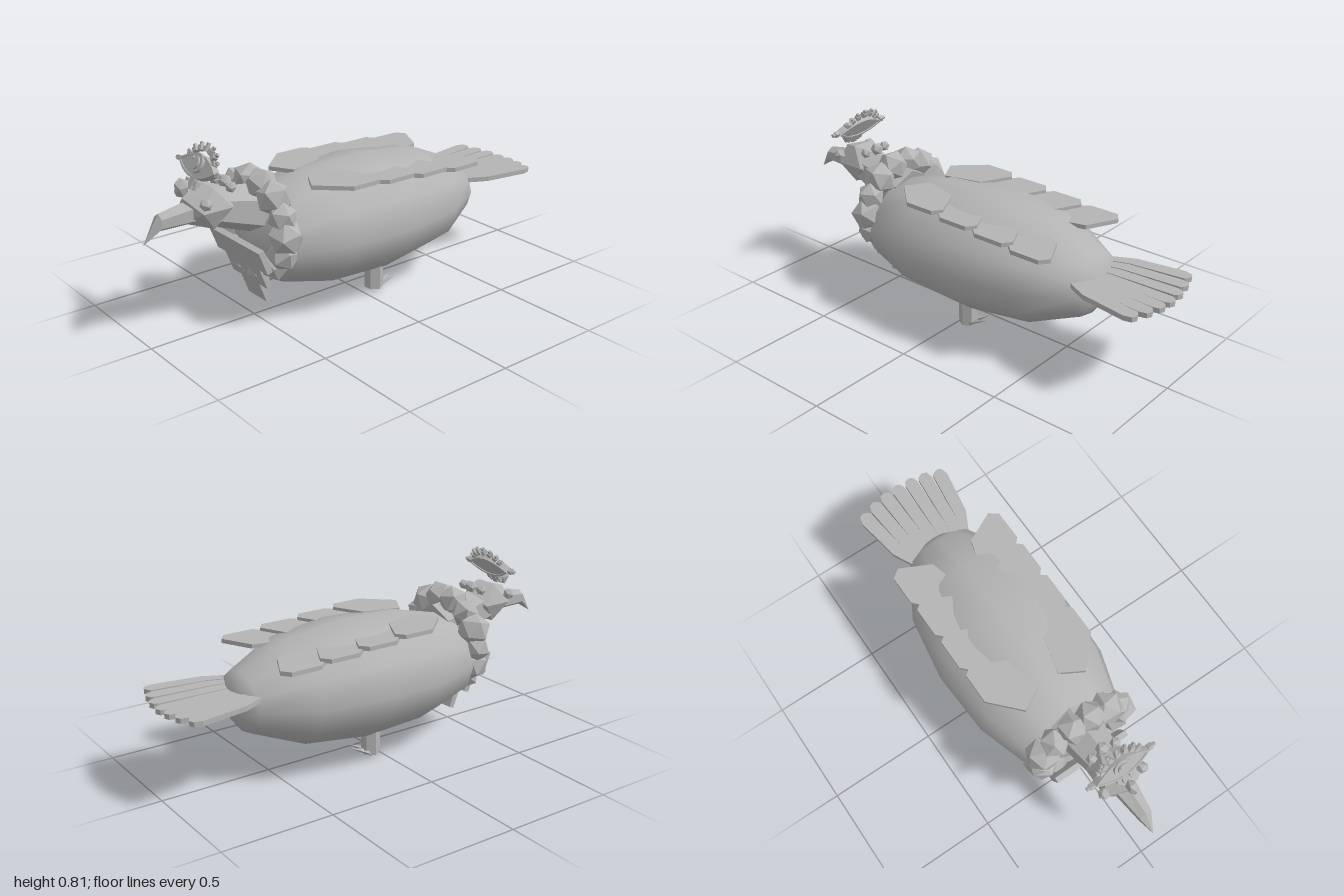
import * as THREE from 'three';

export function createModel() {
  const root = new THREE.Group();
  const smooth = new THREE.MeshStandardMaterial({ color: 0xb4b4b4, side: THREE.DoubleSide });
  smooth.name = 'stone grey';

  // Flat faces come from unshared vertices, so one material serves everything
  const flat = (g) => {
    const f = g.index ? g.toNonIndexed() : g;
    f.computeVertexNormals();
    return f;
  };
  const add = (name, geo, pos = [0, 0, 0], rot = [0, 0, 0], parent = root) => {
    const m = new THREE.Mesh(geo, smooth);
    m.name = name;
    m.position.set(...pos);
    m.rotation.set(...rot);
    parent.add(m);
    return m;
  };
  const group = (name, pos, rotX) => {
    const g = new THREE.Group();
    g.name = name;
    g.position.set(...pos);
    g.rotation.x = rotX;
    root.add(g);
    return g;
  };
  const gem = (r, sx = 1, sy = 1, sz = 1) => flat(new THREE.IcosahedronGeometry(r, 0).scale(sx, sy, sz));
  const plate = (pts, depth) => {
    const s = new THREE.Shape(pts.map(([x, y]) => new THREE.Vector2(x, y)));
    return new THREE.ExtrudeGeometry(s, { depth, bevelEnabled: false });
  };
  // Horizontal plate from [x, z] points, its top face at y = 0
  const slab = (pts, t) => plate(pts, t).rotateX(Math.PI / 2);
  // Tapered bar between two points
  const bar = (name, a, b, r0, r1, sides) => {
    const A = new THREE.Vector3(...a), B = new THREE.Vector3(...b);
    const g = flat(new THREE.CylinderGeometry(r1, r0, A.distanceTo(B), sides));
    const m = add(name, g, A.clone().add(B).multiplyScalar(0.5).toArray());
    m.quaternion.setFromUnitVectors(new THREE.Vector3(0, 1, 0), B.sub(A).normalize());
    return m;
  };

  // Body: twelve-sided smooth oval lying along z
  const profile = [[0, -0.68], [0.26, -0.665], [0.5, -0.62], [0.86, -0.4], [1, -0.1], [0.955, 0.2], [0.74, 0.43], [0.5, 0.49], [0, 0.52]];
  const body = new THREE.LatheGeometry(profile.map(([r, z]) => new THREE.Vector2(r, z)), 12);
  add('body', body.rotateX(Math.PI / 2).scale(0.34, 0.263, 1), [0, 0.347, 0]);

  // Collar: ring of faceted lumps around the neck
  const lumps = 14;
  for (let i = 0; i < lumps; i++) {
    const a = ((i + 0.5) / lumps) * Math.PI * 2;
    add('collarLump', gem(0.077), [Math.sin(a) * 0.212, 0.42 + Math.cos(a) * 0.188, 0.475], [i * 1.3, i * 0.7, i * 2.1])
      .scale.setScalar(0.94 + 0.1 * Math.sin(i * 2.4));
  }

  // Neck and head
  bar('neck', [0, 0.475, 0.42], [0, 0.545, 0.7], 0.115, 0.08, 6);
  add('head', gem(0.108, 1, 0.95, 1.2), [0, 0.555, 0.71]);

  // Beak: hexagonal sections narrowing to a hooked tip; rows are z, y, half width, half height
  const sections = [[0.79, 0.545, 0.055, 0.052], [0.93, 0.533, 0.034, 0.037], [1.0, 0.455, 0.001, 0.001]];
  const beak = new THREE.CylinderGeometry(1, 1, 1, 6, 2).rotateX(Math.PI / 2);
  const bp = beak.attributes.position;
  for (let i = 0; i < bp.count; i++) {
    const [z, y, w, h] = sections[Math.round((bp.getZ(i) + 0.5) * 2)];
    bp.setXYZ(i, bp.getX(i) * w, y + bp.getY(i) * h, z);
  }
  add('beak', flat(beak));

  // Eyes and head jewels
  for (const s of [-1, 1]) {
    add('eye', gem(0.027), [s * 0.097, 0.597, 0.77], [0.3, s * 0.4, 0]);
    add('sideJewel', gem(0.025), [s * 0.06, 0.63, 0.63]);
  }
  add('browJewel', gem(0.036, 0.7, 1.15, 1), [0, 0.655, 0.82]);
  add('rearJewel', gem(0.03), [0, 0.635, 0.62]);

  // Crest: tilted almond-shaped ornament with rim, iris and studs
  const crest = group('crest', [0, 0.72, 0.735], -0.52);
  const almond = (w, h) => {
    const s = new THREE.Shape();
    s.moveTo(-w, 0);
    s.quadraticCurveTo(0, -2 * h, w, 0);
    s.quadraticCurveTo(0, 2 * h, -w, 0);
    return s;
  };
  const rim = almond(0.132, 0.05);
  rim.holes.push(almond(0.118, 0.041));
  const opts = { bevelEnabled: false, curveSegments: 10 };
  add('crestRim', new THREE.ExtrudeGeometry(rim, { ...opts, depth: 0.034 }), [0, 0, -0.017], [0, 0, 0], crest);
  add('crestPlate', new THREE.ExtrudeGeometry(almond(0.12, 0.043), { ...opts, depth: 0.024 }), [0, 0, -0.012], [0, 0, 0], crest);
  const disc = (r, d) => new THREE.CylinderGeometry(r, r, d, 20).rotateX(Math.PI / 2);
  add('iris', disc(0.042, 0.016), [0, 0.012, 0.016], [0, 0, 0], crest);
  add('pupil', disc(0.027, 0.01), [0, 0.012, 0.027], [0, 0, 0], crest);
  add('pupilGlint', gem(0.008), [-0.012, 0.027, 0.032], [0, 0, 0], crest);
  const stud = (x, y, a) => {
    const g = new THREE.Group();
    g.name = 'crestStud';
    g.position.set(x, y, 0);
    g.rotation.z = a;
    crest.add(g);
    add('studBase', new THREE.BoxGeometry(0.02, 0.022, 0.022), [0, 0, 0], [0, 0, 0], g);
    add('studTip', new THREE.BoxGeometry(0.012, 0.016, 0.013), [0, 0.018, 0], [0, 0, 0], g);
  };
  for (let i = -3; i <= 3; i++) {
    const a = i * 0.4;
    stud(Math.sin(a) * 0.092, 0.012 + Math.cos(a) * 0.065, -a);
  }
  for (const s of [-1, 1]) {
    stud(s * 0.143, 0, -s * Math.PI / 2);
    stud(s * 0.03, -0.066, Math.PI);
  }
  add('crestStem', new THREE.BoxGeometry(0.03, 0.06, 0.02), [0, -0.065, 0], [0, 0, 0], crest);

  // Breastplate: stepped slab leaning against the chest
  const chest = group('breastplate', [0, 0.227, 0.522], 0.37);
  const half = [[0.187, 0.157], [0.187, 0.046], [0.128, 0.046], [0.128, -0.056], [0.067, -0.056], [0.067, -0.155]];
  const outline = [...half, ...half.map(([x, y]) => [-x, y]).reverse()];
  add('chestSlab', plate(outline, 0.026), [0, 0, -0.013], [0, 0, 0], chest);
  for (const s of [-1, 1]) add('chestGem', gem(0.032, 1, 0.8, 0.35), [s * 0.052, -0.013, 0.01], [0, 0, s * 0.4], chest);

  // Wings: four overlapping plates on each side, stepping down towards the tail
  const feather = [[0.275, 0.03], [0.235, 0], [0.095, 0.07], [0.05, 0.24], [0.155, 0.3], [0.275, 0.17]];
  for (const s of [-1, 1]) {
    for (let i = 0; i < 4; i++) {
      const pts = feather.map(([x, z]) => [s * (x + 0.002 * i), z]);
      add('wingFeather', slab(pts, 0.019), [0, 0.587 - i * 0.014, -i * 0.19]);
    }
  }

  // Tail: fan of seven feathers with rounded tips
  const n = 7;
  const tailX = (t, w) => t * w;
  const endZ = (t) => -0.99 + 0.06 * t * t;
  for (let i = 0; i < n; i++) {
    const a = (i / n) * 2 - 1, b = ((i + 1) / n) * 2 - 1, m = (a + b) / 2, gap = 0.012;
    const pts = [
      [tailX(a, 0.14), -0.58], [tailX(a, 0.2), -0.7], [tailX(a, 0.238) + gap / 3, endZ(a) + 0.02],
      [tailX(a, 0.238) + gap, endZ(m)], [tailX(m, 0.238), endZ(m) - 0.01], [tailX(b, 0.238) - gap, endZ(m)],
      [tailX(b, 0.238) - gap / 3, endZ(b) + 0.02], [tailX(b, 0.2), -0.7], [tailX(b, 0.14), -0.58],
    ];
    add('tailFeather', slab(pts, 0.022), [0, 0.406 + 0.003 * Math.abs(i - 3), 0]);
  }

  // Legs: short hexagonal posts with swept-back claws
  for (const s of [-1, 1]) {
    const x = s * 0.137;
    add('leg', flat(new THREE.CylinderGeometry(0.042, 0.042, 0.16, 6)), [x, 0.1, -0.056], [0, Math.PI / 6, 0]);
    for (const d of [-1, 0, 1]) bar('claw', [x + d * 0.014, 0.02, -0.06], [x + d * 0.045, 0.062, -0.16 + 0.02 * d * d], 0.015, 0.0005, 4);
    add('heel', flat(new THREE.ConeGeometry(0.024, 0.02, 4)), [x, 0.012, -0.062], [Math.PI, 0, 0]);
  }

  return root;
}
